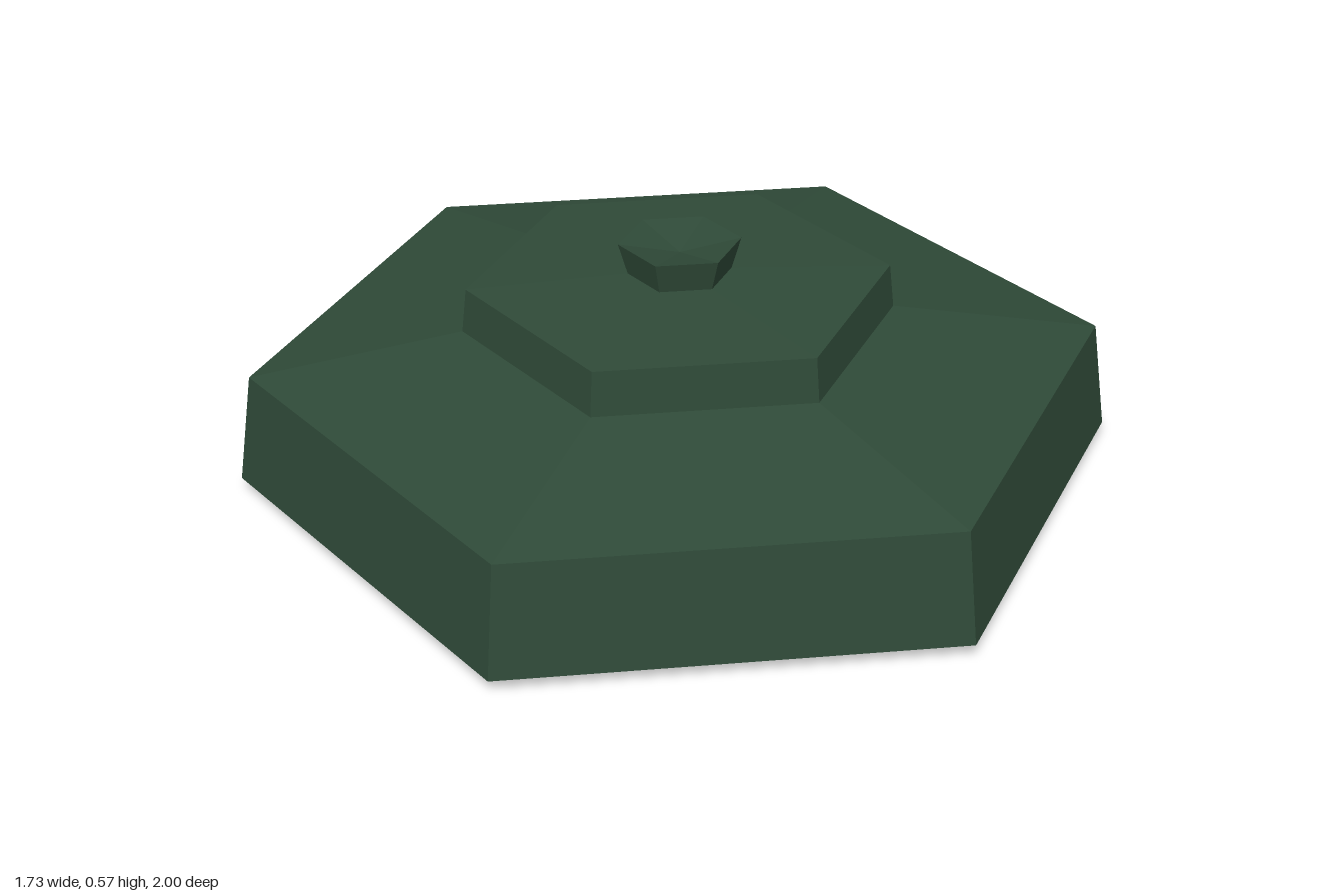
import * as THREE from 'three';

const green = new THREE.MeshStandardMaterial({ color: 0x2f4a38 });
green.name = 'dark green';

// Six-sided faceted solid from a [radius, height] profile, corners on the z axis
function hexPart(name, profile) {
  const points = profile.map(([r, y]) => new THREE.Vector2(r, y));
  const geometry = new THREE.LatheGeometry(points, 6).toNonIndexed();
  geometry.computeVertexNormals();
  const mesh = new THREE.Mesh(geometry, green);
  mesh.name = name;
  return mesh;
}

export function createModel() {
  const group = new THREE.Group();
  group.name = 'hexagonalLid';

  // Wide lower tier with a shallow pointed underside and sloping roof
  group.add(hexPart('lowerTier', [[0, 0], [1, 0.033], [0.965, 0.29], [0.488, 0.374]]));

  // Smaller upper tier with a nearly flat roof
  group.add(hexPart('upperTier', [[0.488, 0.374], [0.477, 0.477], [0, 0.5]]));

  // Flared knob with a dished top
  group.add(hexPart('knob', [[0.114, 0.485], [0.138, 0.567], [0, 0.54]]));

  return group;
}
